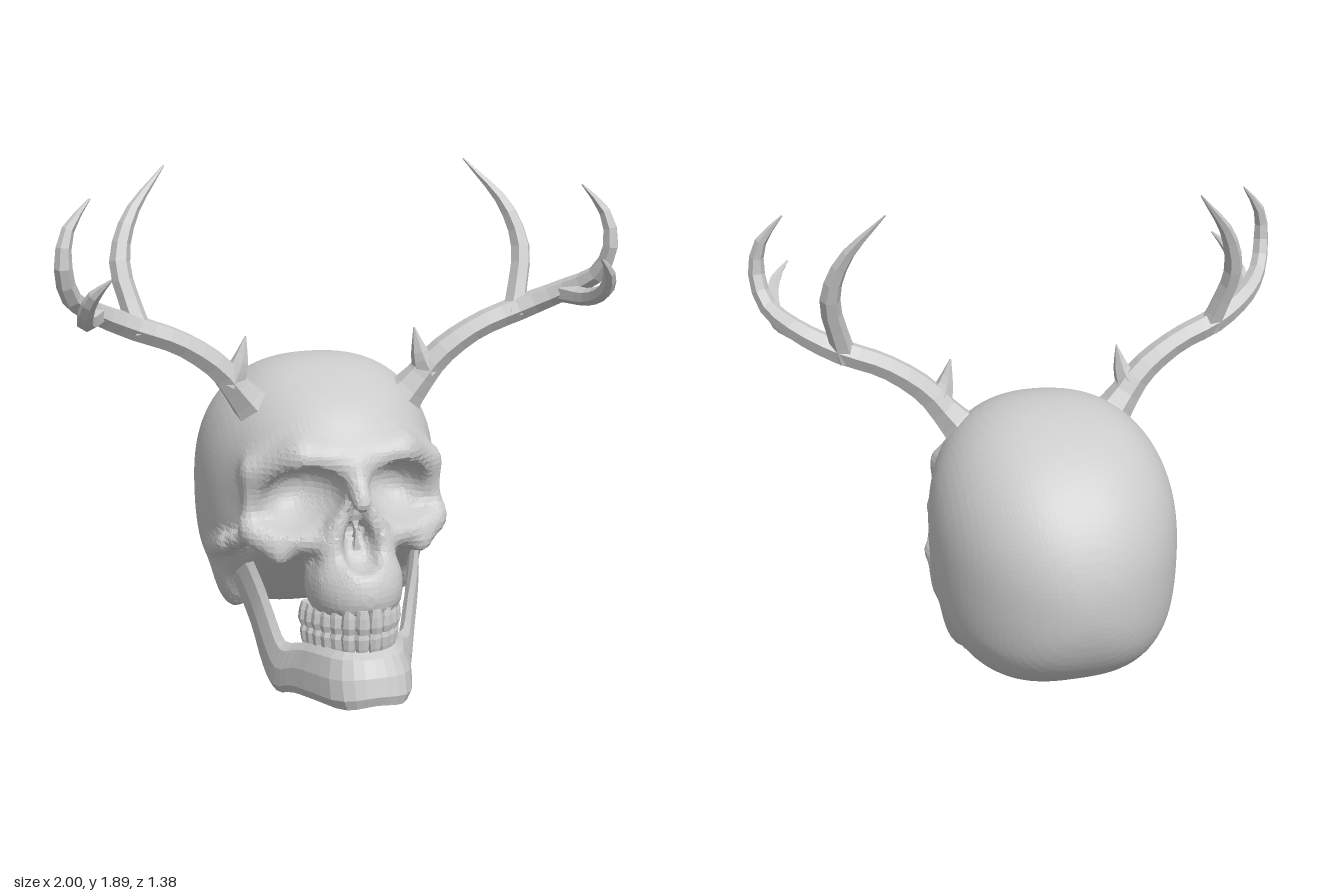
import * as THREE from 'three';

const V = (x, y, z) => new THREE.Vector3(x, y, z);
const material = new THREE.MeshStandardMaterial({ color: 0xcccccc, flatShading: true, side: THREE.DoubleSide });

function mesh(name, geometry) {
  const m = new THREE.Mesh(geometry, material);
  m.name = name;
  return m;
}
function indexed(verts, index) {
  const g = new THREE.BufferGeometry();
  g.setAttribute('position', new THREE.Float32BufferAttribute(verts, 3));
  g.setIndex(index);
  g.computeVertexNormals();
  return g;
}

// Distance helpers used to sculpt the skull
const smin = (a, b, k) => {
  const h = Math.max(k - Math.abs(a - b), 0) / k;
  return Math.min(a, b) - h * h * k / 4;
};
const smax = (a, b, k) => -smin(-a, -b, k);
function ellipsoid(x, y, z, c, r) {
  const dx = (x - c[0]) / r[0], dy = (y - c[1]) / r[1], dz = (z - c[2]) / r[2];
  const k0 = Math.hypot(dx, dy, dz);
  return k0 * (k0 - 1) / (Math.hypot(dx / r[0], dy / r[1], dz / r[2]) + 1e-6);
}
function capsule(x, y, z, a, b, r) {
  const d = [b[0] - a[0], b[1] - a[1], b[2] - a[2]];
  const p = [x - a[0], y - a[1], z - a[2]];
  const dot = p[0] * d[0] + p[1] * d[1] + p[2] * d[2];
  const t = Math.min(1, Math.max(0, dot / (d[0] ** 2 + d[1] ** 2 + d[2] ** 2)));
  return Math.hypot(p[0] - t * d[0], p[1] - t * d[1], p[2] - t * d[2]) - r;
}

// Ridges of the face: start, end, radius, blend (mirrored in x)
const ridges = [
  [[0, 0.88, 0.385], [0.18, 0.915, 0.36], 0.035, 0.09],     // inner brow
  [[0.18, 0.915, 0.36], [0.325, 0.84, 0.25], 0.033, 0.09],  // outer brow
  [[0.33, 0.84, 0.245], [0.345, 0.67, 0.25], 0.032, 0.04],  // outer eye rim
  [[0.345, 0.64, 0.27], [0.26, 0.57, 0.35], 0.042, 0.04],   // cheekbone
  [[0.33, 0.62, 0.29], [0.12, 0.61, 0.4], 0.038, 0.04],     // lower eye rim
  [[0.055, 0.76, 0.4], [0.1, 0.5, 0.45], 0.04, 0.04],       // side of nose
  [[0, 0.87, 0.405], [0, 0.77, 0.485], 0.035, 0.03],        // nasal bone
  [[0.35, 0.61, 0.26], [0.4, 0.535, 0.1], 0.029, 0.025],    // front of cheek arch
  [[0.4, 0.535, 0.1], [0.405, 0.47, -0.07], 0.03, 0.03],    // back of cheek arch
];

function skullDistance(px, y, z) {
  const x = Math.abs(px);
  // Braincase, leaning down toward the back and broader underneath
  const v = (y - 0.685 - 0.13 * (z + 0.15)) / 0.495;
  const e = v > 0 ? 2.4 : 2.4 + Math.min(0.4, -v);
  const s = (x / 0.45) ** e + Math.abs(v) ** e;
  let d = (Math.sqrt(s ** (2 / e) + ((z + 0.15) / 0.54) ** 2) - 1) * 0.45;
  d = smin(d, ellipsoid(x, y, z, [0, 0.795, 0.1], [0.355, 0.32, 0.325]), 0.05);
  d = smax(d, (z - y + 0.3) * 0.7, 0.06);
  d = smin(d, ellipsoid(x, y, z, [0.33, 0.33, -0.08], [0.055, 0.1, 0.08]), 0.08);
  // Upper jaw, cut along the gum line and hollowed at the palate
  let jaw = ellipsoid(x, y, z, [0, 0.445, 0.385], [0.172, 0.17, 0.205]);
  jaw = smax(jaw, 0.39 - 0.17 * (0.6 - z) - y, 0.02);
  jaw = smax(jaw, -ellipsoid(x, y, z, [0, 0.34, 0.37], [0.105, 0.1, 0.16]), 0.02);
  d = smin(d, jaw, 0.05);
  d = smin(d, ellipsoid(x, y, z, [0.15, 0.61, 0.25], [0.15, 0.1, 0.14]), 0.04);
  for (const [a, b, r, k] of ridges) d = smin(d, capsule(x, y, z, a, b, r), k);
  // Eye sockets and nose opening
  const eye = ellipsoid(x, y + 0.2 * (x - 0.19), z, [0.19, 0.765, 0.4], [0.147, 0.117, 0.18]);
  d = smax(d, -eye, 0.02);
  const taper = Math.min(1.4, Math.max(0.5, 1 - 3 * (y - 0.63)));
  d = smax(d, -ellipsoid(x / taper, y, z, [0, 0.63, 0.52], [0.07, 0.1, 0.13]), 0.015);
  return smin(d, capsule(x, y, z, [0, 0.54, 0.43], [0, 0.7, 0.4], 0.014), 0.02);
}

// Wraps the sculpted shape in a skin of small quads on a regular grid
function skullGeometry() {
  const h = 0.021, size = [49, 54, 67], origin = [-0.504, 0.13, -0.735];
  const stride = [1, size[0], size[0] * size[1]];
  const total = size[0] * size[1] * size[2];
  const value = new Float32Array(total), cell = new Int32Array(total);
  const coord = n => [n % size[0], Math.floor(n / stride[1]) % size[1], Math.floor(n / stride[2])];
  const place = n => coord(n).map((c, a) => origin[a] + c * h);
  for (let n = 0; n < total; n++) value[n] = skullDistance(...place(n));
  const verts = [], index = [];
  const corner = c => (c & 1) * stride[0] + (c >> 1 & 1) * stride[1] + (c >> 2) * stride[2];
  // One vertex in each cell the surface crosses, at the mean of the crossings
  for (let n = 0; n < total; n++) {
    if (coord(n).some((c, a) => c === size[a] - 1)) continue;
    const sum = [0, 0, 0];
    let hits = 0;
    for (let c = 0; c < 8; c++) for (let a = 0; a < 3; a++) {
      if (c >> a & 1) continue;
      const v0 = value[n + corner(c)], v1 = value[n + corner(c) + stride[a]];
      if (v0 < 0 === v1 < 0) continue;
      hits++;
      for (let b = 0; b < 3; b++) sum[b] += (c >> b & 1) + (b === a ? v0 / (v0 - v1) : 0);
    }
    if (!hits) continue;
    cell[n] = verts.length / 3;
    place(n).forEach((p, b) => verts.push(p + h * sum[b] / hits));
  }
  // One quad around each crossed grid edge
  for (let n = stride[2]; n < total - stride[2]; n++) for (let a = 0; a < 3; a++) {
    const inside = value[n] < 0;
    if (inside === value[n + stride[a]] < 0) continue;
    const u = stride[(a + 1) % 3], w = stride[(a + 2) % 3];
    const q = [n, n - u, n - u - w, n - w].map(m => cell[m]);
    if (!inside) q.reverse();
    index.push(q[0], q[1], q[2], q[0], q[2], q[3]);
  }
  return indexed(verts, index);
}

// Tapered tube; each point is [x, y, z, radius]
function limb(points, side, sides = 6) {
  const curve = new THREE.CatmullRomCurve3(points.map(p => V(p[0] * side, p[1], p[2])));
  const n = points.length * 2;
  const g = new THREE.TubeGeometry(curve, n, 1, sides);
  const pos = g.attributes.position, v = V(0, 0, 0);
  for (let i = 0; i <= n; i++) {
    const c = curve.getPointAt(i / n);
    const f = curve.getUtoTmapping(i / n) * (points.length - 1);
    const k = Math.min(Math.floor(f), points.length - 2);
    const r = THREE.MathUtils.lerp(points[k][3], points[k + 1][3], f - k);
    for (let j = 0; j <= sides; j++) {
      const id = i * (sides + 1) + j;
      v.fromBufferAttribute(pos, id).sub(c).multiplyScalar(r).add(c);
      pos.setXYZ(id, v.x, v.y, v.z);
    }
  }
  g.computeVertexNormals();
  return g;
}

// Lower jaw stations from chin to hinge: lower/rear edge, then upper/front edge
const jawStations = [
  [[0, 0.1, 0.675], [0, 0.265, 0.595]], [[0.1, 0.085, 0.65], [0.085, 0.265, 0.565]],
  [[0.17, 0.065, 0.5], [0.14, 0.25, 0.45]], [[0.215, 0.04, 0.36], [0.175, 0.225, 0.35]],
  [[0.25, 0.005, 0.25], [0.225, 0.21, 0.285]], [[0.275, 0.05, 0.19], [0.26, 0.32, 0.235]],
  [[0.305, 0.2, 0.13], [0.29, 0.42, 0.2]], [[0.335, 0.31, 0.05], [0.32, 0.5, 0.13]],
  [[0.355, 0.39, -0.03], [0.34, 0.48, 0.04]], [[0.36, 0.47, -0.07], [0.36, 0.48, -0.04]],
];

function jawGeometry() {
  const flip = jawStations.slice(1).reverse().map(s => s.map(p => [-p[0], p[1], p[2]]));
  const all = [...flip, ...jawStations];
  const [low, high] = [0, 1].map(e => new THREE.CatmullRomCurve3(all.map(s => V(...s[e]))));
  const n = 54, sides = 8, verts = [], index = [];
  for (let i = 0; i <= n; i++) {
    const u = i / n, b = low.getPoint(u), t = high.getPoint(u);
    const mid = b.clone().add(t).multiplyScalar(0.5), half = t.clone().sub(b).multiplyScalar(0.5);
    const tangent = low.getTangent(u).add(high.getTangent(u));
    const normal = tangent.cross(half).normalize().multiplyScalar(0.036 - 0.018 * Math.abs(2 * u - 1));
    for (let k = 0; k < sides; k++) {
      const a = k / sides * Math.PI * 2;
      const p = mid.clone().addScaledVector(half, Math.cos(a)).addScaledVector(normal, Math.sin(a));
      verts.push(p.x, p.y, p.z);
      if (i === n) continue;
      const k2 = (k + 1) % sides, r = i * sides, q = r + sides;
      index.push(r + k, r + k2, q + k, r + k2, q + k2, q + k);
    }
  }
  return indexed(verts, index);
}

// One curved row of fourteen teeth, evenly spaced along the arch
function teethRow(name, y, radius, up) {
  const row = new THREE.Group();
  row.name = name;
  const profile = [[0, -0.5], [0.4, -0.47], [0.52, -0.2], [0.46, 0.2], [0.34, 0.5], [0, 0.5]];
  const geo = new THREE.LatheGeometry(profile.map(p => new THREE.Vector2(...p)), 8, Math.PI / 8);
  const arch = new THREE.EllipseCurve(0, 0.285, ...radius, 0.06, Math.PI - 0.06);
  for (let i = 0; i < 14; i++) {
    const u = (i + 0.5) / 14, p = arch.getPointAt(u), t = arch.getTangentAt(u);
    const tooth = mesh('tooth', geo);
    tooth.position.set(p.x, y - 0.17 * (0.6 - p.y), p.y);
    tooth.rotation.y = Math.atan2(-t.y, t.x);
    tooth.scale.set(0.054, up * 0.09, 0.045 + 0.03 * Math.abs(2 * u - 1));
    row.add(tooth);
  }
  return row;
}

const antlerParts = {
  mainBeam: [[0.27, 1.02, 0.065, 0.085], [0.33, 1.09, 0.08, 0.06], [0.41, 1.19, 0.095, 0.052],
    [0.55, 1.29, 0.11, 0.046], [0.72, 1.36, 0.13, 0.047], [0.86, 1.43, 0.2, 0.04], [0.945, 1.5, 0.29, 0.033],
    [0.97, 1.61, 0.335, 0.03], [0.95, 1.72, 0.32, 0.022], [0.87, 1.82, 0.29, 0.003]],
  rearTine: [[0.69, 1.33, 0.13, 0.045], [0.715, 1.42, 0.1, 0.038], [0.745, 1.57, 0.05, 0.037],
    [0.7, 1.72, 0, 0.027], [0.56, 1.89, -0.08, 0.003]],
  frontTine: [[0.85, 1.42, 0.19, 0.038], [0.9, 1.42, 0.32, 0.032], [0.915, 1.46, 0.42, 0.028],
    [0.895, 1.53, 0.485, 0.022], [0.84, 1.59, 0.53, 0.003]],
  spur: [[0.37, 1.13, 0.09, 0.055], [0.34, 1.2, 0.1, 0.035], [0.315, 1.3, 0.1, 0.003]],
};

export function createModel() {
  const model = new THREE.Group();
  model.name = 'antleredSkull';
  model.add(mesh('skull', skullGeometry()), mesh('lowerJaw', jawGeometry()));
  model.add(teethRow('upperTeeth', 0.375, [0.152, 0.295], 1), teethRow('lowerTeeth', 0.295, [0.145, 0.283], -1));
  for (const [label, side] of [['left', 1], ['right', -1]]) {
    const antler = new THREE.Group();
    antler.name = label + 'Antler';
    for (const [name, points] of Object.entries(antlerParts)) antler.add(mesh(name, limb(points, side)));
    model.add(antler);
  }
  return model;
}
